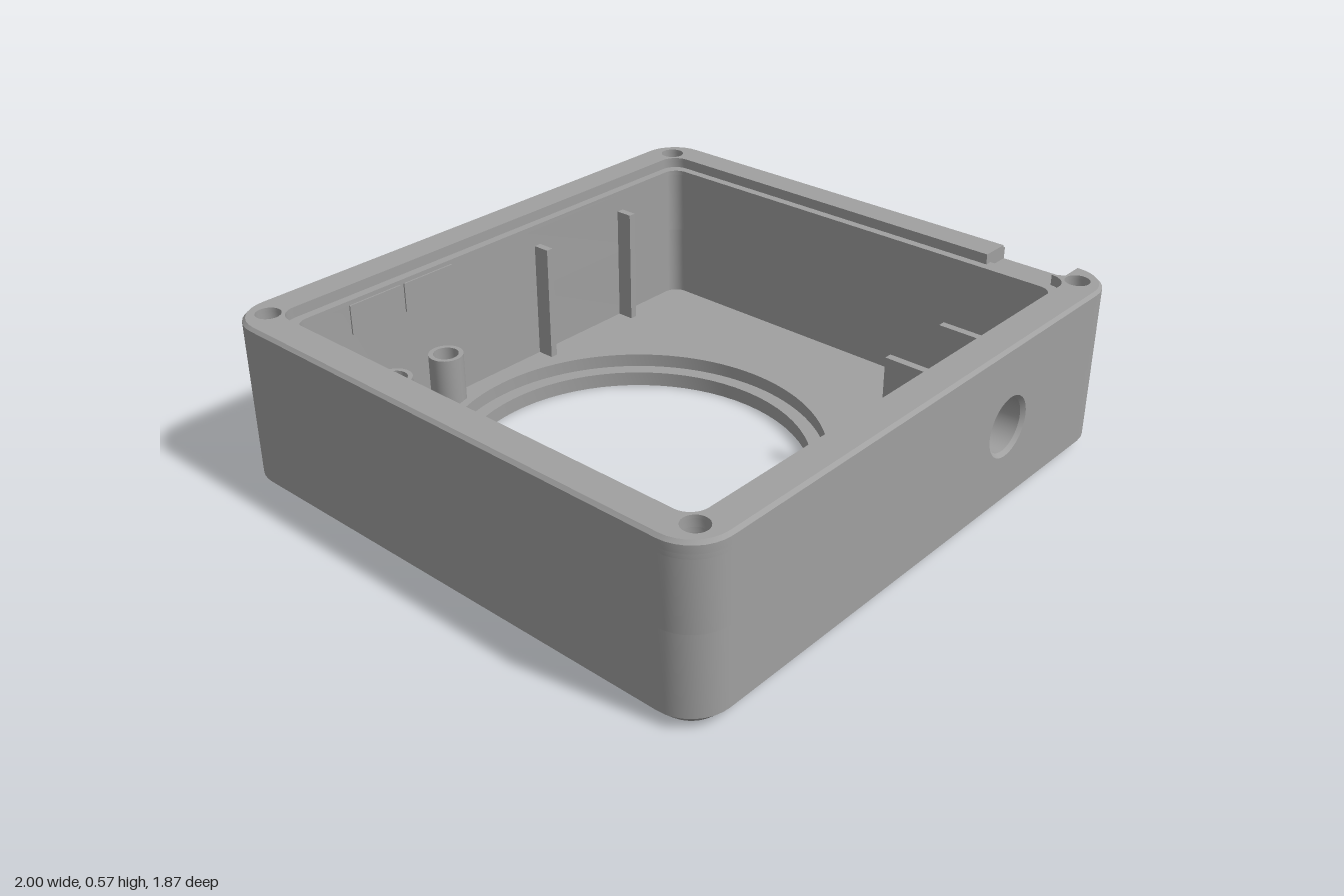
import * as THREE from 'three';
import { toCreasedNormals } from 'three/addons/utils/BufferGeometryUtils.js';

const HX = 1, HZ = 0.935, R = 0.13;          // outer half sizes and corner radius
const TOP = 0.57, FLOOR = 0.05, LEDGE = 0.535, NOTCH = 0.52;
const V = (x, y) => new THREE.Vector2(x, y); // plan coordinates: (x, -z)

export function createModel() {
  const group = new THREE.Group();
  const grey = new THREE.MeshStandardMaterial({ color: 0xa0a0a0 });
  grey.name = 'grey plastic';

  const add = (name, geometry) => {
    const mesh = new THREE.Mesh(toCreasedNormals(geometry, 0.5), grey);
    mesh.name = name;
    group.add(mesh);
    return mesh;
  };

  // Rounded rectangle, counter-clockwise, starting at the given corner
  // (0 = front right, 1 = back right, 2 = back left, 3 = front left)
  const roundRect = (hx, hz, r, first = 0, n = 8) => {
    const signs = [[1, -1], [1, 1], [-1, 1], [-1, -1]];
    const pts = [];
    for (let k = 0; k < 4; k++) {
      const c = (first + k) % 4;
      for (let i = 0; i <= n; i++) {
        const a = (c - 1 + i / n) * Math.PI / 2;
        pts.push(V(signs[c][0] * (hx - r) + r * Math.cos(a), signs[c][1] * (hz - r) + r * Math.sin(a)));
      }
    }
    return pts;
  };
  const outer = (inset, first) => roundRect(HX - inset, HZ - inset, R - inset, first);
  const inner = first => roundRect(0.86, 0.795, 0.05, first);
  const rebate = first => roundRect(0.89, 0.825, 0.06, first);

  const circle = (x, y, r, n = 32) => new THREE.Path(
    Array.from({ length: n }, (_, i) => V(x + r * Math.cos(i / n * 2 * Math.PI), y + r * Math.sin(i / n * 2 * Math.PI))));
  const shapeOf = (pts, holes = []) => {
    const s = new THREE.Shape(pts);
    s.holes.push(...holes);
    return s;
  };
  const extrude = (shape, depth) => new THREE.ExtrudeGeometry(shape, { depth, bevelEnabled: false, curveSegments: 48 });

  // Layer standing between two heights, and layer between two depths
  const layer = (name, shape, y0, y1) =>
    add(name, extrude(shape, y1 - y0).rotateX(-Math.PI / 2).translate(0, y0, 0));
  const plate = (name, shape, z0, z1) =>
    add(name, extrude(shape, z1 - z0).translate(0, 0, z0));

  // Sloping band between two matching plan outlines
  const band = (name, low, y0, high, y1, closed) => {
    const pos = [];
    const count = closed ? low.length : low.length - 1;
    for (let i = 0; i < count; i++) {
      const j = (i + 1) % low.length;
      const a = [low[i].x, y0, -low[i].y], b = [low[j].x, y0, -low[j].y];
      const c = [high[j].x, y1, -high[j].y], d = [high[i].x, y1, -high[i].y];
      pos.push(...a, ...b, ...c, ...a, ...c, ...d);
    }
    const g = new THREE.BufferGeometry();
    g.setAttribute('position', new THREE.Float32BufferAttribute(pos, 3));
    g.computeVertexNormals();
    add(name, g);
  };

  const screws = () => [[1, 1], [1, -1], [-1, 1], [-1, -1]].map(([sx, sy]) => circle(sx * 0.905, sy * 0.847, 0.04, 24));

  // Floor with the large opening and the three small holes
  const opening = { x: -0.16, y: 0.055, r: 0.56 };
  const posts = [-0.695, -0.55, -0.335];
  const postY = 0.735;
  layer('floor', shapeOf(outer(0.04), [
    circle(opening.x, opening.y, opening.r, 72),
    ...posts.map(x => circle(x, postY, 0.042)),
  ]), 0, FLOOR);
  band('bottomChamfer', outer(0.04), 0, outer(0), 0.04, true);

  // Walls, left open at the front where the drilled panel sits
  const px0 = 0.22, px1 = 0.6;
  const wallShape = holes => shapeOf([
    V(px1, -HZ), ...outer(0), V(px0, -HZ),
    ...[V(px1, -0.795), ...inner(), V(px0, -0.795)].reverse(),
  ], holes);
  layer('lowerWall', wallShape(), 0.04, 0.3);
  layer('upperWall', wallShape(screws()), 0.3, NOTCH);

  // Front panel with a round blind socket and boss behind it
  const sx = 0.4, sy = 0.298;
  const panel = r => shapeOf([V(px0, 0.04), V(px1, 0.04), V(px1, NOTCH), V(px0, NOTCH)], [circle(sx, sy, r, 40)]);
  plate('frontPanel', panel(0.088), 0.795, 0.923);
  plate('frontPanelFace', panel(0.1), 0.923, HZ);
  const bevel = new THREE.LatheGeometry([V(0.1, 0.012), V(0.088, 0)], 40);
  add('socketBevel', bevel.rotateX(Math.PI / 2).translate(sx, sy, 0.923));
  const disc = holes => shapeOf(circle(sx, sy, 0.1225, 40).getPoints(), holes);
  plate('socketBoss', disc([circle(sx, sy, 0.088, 40)]), 0.74, 0.797);
  plate('socketBack', disc(), 0.70, 0.74);

  // Rim with stepped inner ledge and a notch in the right side
  const n0 = -0.53, n1 = -0.8;
  layer('innerLedge', shapeOf(
    [V(HX, n0), ...outer(0, 1), V(HX, n1), V(0.915, n1), V(0.915, n0)],
    [new THREE.Path(inner()), ...screws()]), NOTCH, LEDGE);
  const rimOuter = inset => [V(HX - inset, n0), ...outer(inset, 1), V(HX - inset, n1)];
  const rimShape = inset => shapeOf([
    ...rimOuter(inset), V(0.915, n1),
    ...[V(0.89, n0), ...rebate(1), V(0.89, -0.765)].reverse(),
  ], screws());
  layer('rim', rimShape(0), LEDGE, 0.56);
  layer('rimTop', rimShape(0.01), 0.56, TOP);
  band('rimChamfer', rimOuter(0), 0.56, rimOuter(0.01), TOP, false);

  // Low collar around the opening, broken at the front
  const ro = 0.637, ri = 0.608, cut = 0.385;
  const ao = Math.acos(cut / ro), ai = Math.acos(cut / ri);
  const collar = new THREE.Shape();
  collar.absarc(opening.x, opening.y, ro, -ao, Math.PI + ao, false);
  collar.absarc(opening.x, opening.y, ri, Math.PI + ai, -ai, true);
  layer('collar', collar, FLOOR, 0.095);

  // Hollow posts over the small holes
  for (const x of posts) {
    layer('hollowPost', shapeOf(circle(x, postY, 0.058).getPoints(), [circle(x, postY, 0.042)]), FLOOR, 0.25);
  }

  // Upright ribs: two beside the socket, two on the back wall
  const box = (name, x0, x1, y0, y1, z0, z1) =>
    add(name, new THREE.BoxGeometry(x1 - x0, y1 - y0, z1 - z0)
      .translate((x0 + x1) / 2, (y0 + y1) / 2, (z0 + z1) / 2));
  box('socketRib', 0.262, 0.288, FLOOR, 0.46, 0.58, 0.8);
  box('socketRib', 0.55, 0.576, FLOOR, 0.46, 0.58, 0.8);
  box('backRib', 0.138, 0.164, FLOOR, 0.46, -0.8, -0.735);
  box('backRib', 0.55, 0.576, FLOOR, 0.46, -0.8, -0.735);

  // Thin raised panels on the inside of the back wall
  box('backWallPanel', -0.65, -0.45, 0.42, 0.52, -0.8, -0.79);
  box('backWallPanel', -0.435, -0.235, 0.42, 0.52, -0.8, -0.79);

  return group;
}
